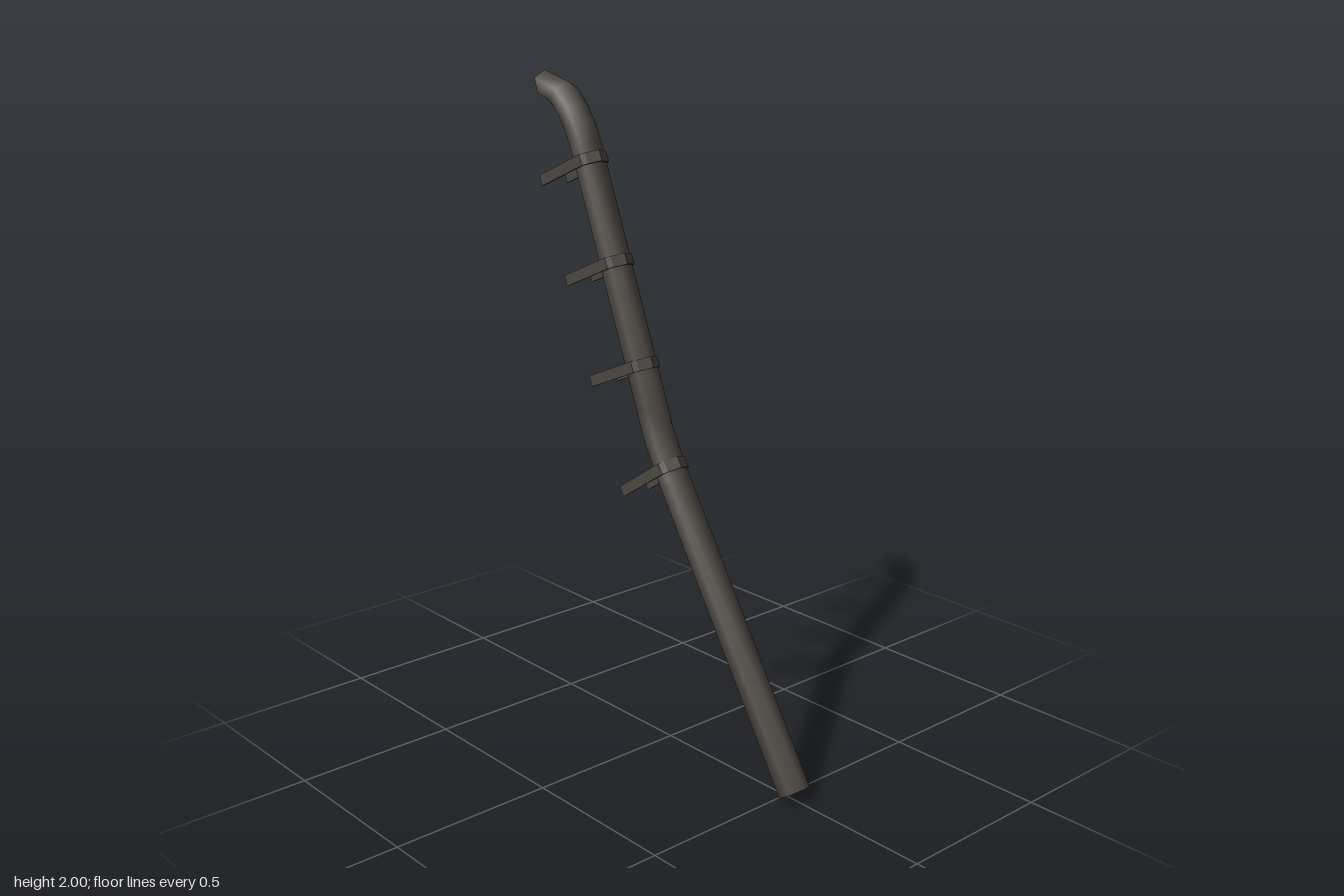
import * as THREE from 'three';

const darkMetal = new THREE.MeshStandardMaterial({ color: 0x4b4640 });
darkMetal.name = 'darkMetal';

const SIDES = 6;
const HALF_WIDTH = 0.0425; // half distance across the flats (x)
const HALF_DEPTH = 0.045;  // centre to front or back corner

// Unit vector in the yz plane, tilted up from +z
const forward = (deg) => {
  const a = THREE.MathUtils.degToRad(deg);
  return new THREE.Vector3(0, Math.sin(a), Math.cos(a));
};

// Pipe centre line: z, y, tilt of the cross-section
const stations = [
  [0.538, 0.024, 32.4], [0.02, 0.84, 32.4], [-0.022, 0.91, 30],
  [-0.058, 0.98, 26], [-0.085, 1.05, 21.6], [-0.378, 1.79, 21.6],
  [-0.4, 1.835, 26], [-0.437, 1.89, 39], [-0.485, 1.935, 58], [-0.563, 1.957, 106],
];

function pipeGeometry() {
  const pos = [], index = [];
  const ring = ([z, y, deg]) => {
    const f = forward(deg);
    for (let k = 0; k < SIDES; k++) {
      const a = (k / SIDES) * Math.PI * 2;
      const d = HALF_DEPTH * Math.cos(a);
      pos.push((HALF_WIDTH * Math.sin(a)) / Math.sin(Math.PI / 3), y + f.y * d, z + f.z * d);
    }
  };
  stations.forEach(ring);
  // Walls
  for (let i = 0; i < stations.length - 1; i++) {
    for (let k = 0; k < SIDES; k++) {
      const a = i * SIDES + k, b = i * SIDES + ((k + 1) % SIDES);
      index.push(a, b, a + SIDES, b, b + SIDES, a + SIDES);
    }
  }
  // End caps on their own corners, to keep the rims sharp
  const low = pos.length / 3, high = low + SIDES;
  ring(stations[0]);
  ring(stations[stations.length - 1]);
  for (let k = 1; k < SIDES - 1; k++) {
    index.push(low, low + k + 1, low + k, high, high + k, high + k + 1);
  }
  const geo = new THREE.BufferGeometry();
  geo.setAttribute('position', new THREE.Float32BufferAttribute(pos, 3));
  geo.setIndex(index);
  geo.computeVertexNormals();
  return geo;
}

// U-shaped strap: wraps the front of the pipe, two thin arms reach back
function strapGeometry() {
  const reach = -0.19, height = 0.034;
  const shape = new THREE.Shape([
    [0, 0.054], [-0.038, 0.034], [-0.052, 0.022], [-0.052, reach], [-0.045, reach],
    [-0.045, 0.02], [0, 0.044], [0.045, 0.02], [0.045, reach], [0.052, reach],
    [0.052, 0.022], [0.038, 0.034],
  ].map(([x, y]) => new THREE.Vector2(x, y)));
  return new THREE.ExtrudeGeometry(shape, { depth: height, bevelEnabled: false })
    .translate(0, 0, -height / 2);
}

export function createModel() {
  const model = new THREE.Group();
  model.name = 'bentPipeWithStraps';

  const pipe = new THREE.Mesh(pipeGeometry(), darkMetal);
  pipe.name = 'pipe';
  model.add(pipe);

  // Straps: z, y, tilt
  const strapGeo = strapGeometry();
  [[-0.006, 0.875, 33], [-0.133, 1.163, 23], [-0.248, 1.456, 23], [-0.362, 1.748, 23]]
    .forEach(([z, y, deg], i) => {
      const strap = new THREE.Mesh(strapGeo, darkMetal);
      strap.name = `strap${i + 1}`;
      strap.position.set(0, y, z);
      strap.rotation.x = THREE.MathUtils.degToRad(90 - deg);
      model.add(strap);
    });

  return model;
}
